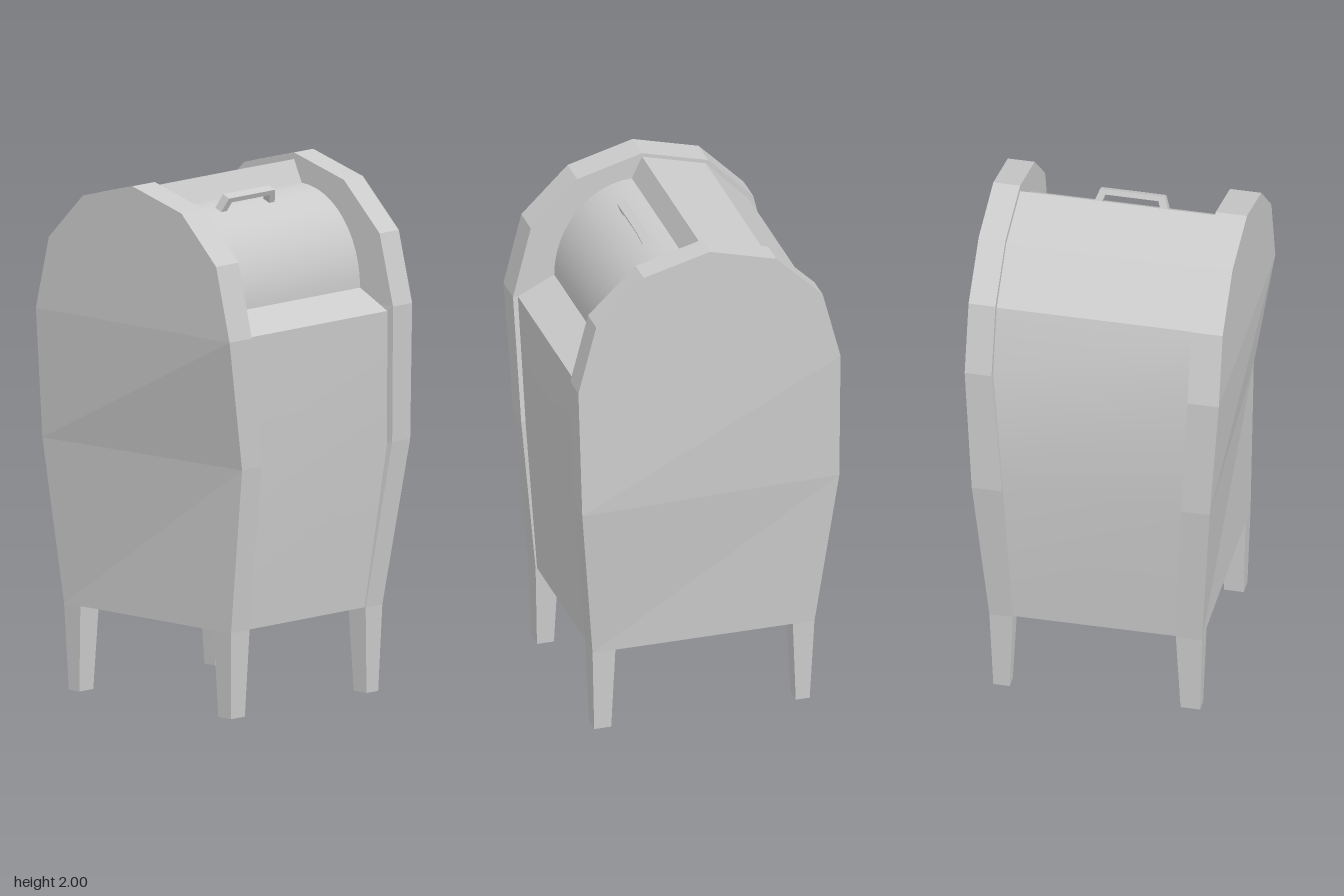
import * as THREE from 'three';
import { toCreasedNormals } from 'three/addons/utils/BufferGeometryUtils.js';

const flat = new THREE.MeshStandardMaterial({ color: 0xcccccc, flatShading: true });
const smooth = new THREE.MeshStandardMaterial({ color: 0xcccccc });

function part(name, geometry, material = flat) {
  const mesh = new THREE.Mesh(geometry, material);
  mesh.name = name;
  return mesh;
}

// Joins four-cornered rings, listed from top to bottom, and closes the lowest one.
// Each ring runs front-right-back-left, counter-clockwise seen from above.
function loft(rings) {
  const pos = [];
  const tri = (...corners) => corners.forEach((c) => pos.push(...c));
  for (let r = 0; r < rings.length - 1; r++) {
    const up = rings[r], low = rings[r + 1];
    for (let i = 0; i < 4; i++) {
      const j = (i + 1) % 4;
      tri(low[i], low[j], up[j]);
      tri(low[i], up[j], up[i]);
    }
  }
  const [a, b, c, d] = rings[rings.length - 1];
  tri(a, d, c);
  tri(a, c, b);
  const g = new THREE.BufferGeometry();
  g.setAttribute('position', new THREE.Float32BufferAttribute(pos, 3));
  g.computeVertexNormals();
  return g;
}

// Row: y, zBack, zFront, then x as smaller/larger at the back and at the front
const ring = ([y, zb, zf, b0, b1, f0, f1]) =>
  [[f0, y, zf], [f1, y, zf], [b1, y, zb], [b0, y, zb]];

// Half-width of the body at a height, kept inside the side panels
function bodyX(y, right) {
  const rows = right
    ? [[0.33, 0.36], [0.96, 0.42], [1.46, 0.43]]
    : [[0.33, -0.36], [0.96, -0.375], [1.46, -0.43]];
  for (let i = 0; i < 2; i++) {
    const [y0, x0] = rows[i], [y1, x1] = rows[i + 1];
    if (y <= y1) return THREE.MathUtils.mapLinear(y, y0, y1, x0, x1);
  }
  return rows[2][1];
}

// Extrudes a z-y outline across the width, between the side panels
function acrossBody(points) {
  const shape = new THREE.Shape(points.map(([z, y]) => new THREE.Vector2(-z, y)));
  const g = new THREE.ExtrudeGeometry(shape, { depth: 1, bevelEnabled: false });
  g.rotateY(Math.PI / 2);
  const p = g.attributes.position;
  for (let i = 0; i < p.count; i++) p.setX(i, bodyX(p.getY(i), p.getX(i) > 0.5));
  return toCreasedNormals(g, 0.3);
}

export function createModel() {
  const model = new THREE.Group();
  model.name = 'mailbox';

  // Side panels, bowed and slightly uneven
  const rightPanel = [
    [1.99, 0, 0, -0.49, -0.37, -0.49, -0.37],
    [1.92, -0.26, 0.255, -0.49, -0.37, -0.49, -0.37],
    [1.74, -0.437, 0.437, -0.49, -0.37, -0.49, -0.37],
    [1.46, -0.505, 0.507, -0.49, -0.37, -0.49, -0.37],
    [0.96, -0.505, 0.495, -0.455, -0.345, -0.41, -0.305],
    [0.33, -0.435, 0.437, -0.41, -0.31, -0.41, -0.31],
  ];
  const leftPanel = [
    [2, 0, 0, 0.38, 0.483, 0.38, 0.483],
    [1.93, -0.26, 0.26, 0.38, 0.483, 0.38, 0.483],
    [1.75, -0.443, 0.447, 0.38, 0.483, 0.38, 0.483],
    [1.48, -0.513, 0.517, 0.38, 0.483, 0.38, 0.483],
    [0.96, -0.517, 0.503, 0.34, 0.455, 0.39, 0.487],
    [0.33, -0.435, 0.437, 0.315, 0.405, 0.315, 0.405],
  ];
  model.add(part('rightSidePanel', loft(rightPanel.map(ring))));
  model.add(part('leftSidePanel', loft(leftPanel.map(ring))));

  // Tapered legs under the four corners
  for (const [side, top, foot] of [
    ['right', [-0.41, -0.31], [-0.4, -0.325]],
    ['left', [0.315, 0.405], [0.33, 0.393]],
  ]) {
    model.add(part(side + 'FrontLeg', loft([
      ring([0.33, 0.347, 0.437, ...top, ...top]),
      ring([0, 0.36, 0.427, ...foot, ...foot]),
    ])));
    model.add(part(side + 'BackLeg', loft([
      ring([0.33, -0.435, -0.35, ...top, ...top]),
      ring([0, -0.42, -0.365, ...foot, ...foot]),
    ])));
  }

  // Body with a recess for the door and a sloping ledge below it
  model.add(part('body', acrossBody([
    [0, 1.975], [0.04, 1.89], [0.04, 1.53], [0.345, 1.53], [0.488, 1.46], [0.478, 0.96], [0.431, 0.33],
    [-0.429, 0.33], [-0.49, 0.96], [-0.488, 1.46], [-0.42, 1.73], [-0.25, 1.908],
  ]), smooth));

  // Rounded door: a quarter ellipse
  const door = [[0.03, 1.52], [0.03, 1.89]];
  for (let i = 0; i <= 12; i++) {
    const a = (i / 12) * Math.PI / 2;
    door.push([0.04 + 0.305 * Math.sin(a), 1.53 + 0.36 * Math.cos(a)]);
  }
  door.push([0.345, 1.52]);
  model.add(part('door', acrossBody(door), smooth));

  // Door handle: a bent bar standing on the door
  const bar = new THREE.Shape([
    [-0.17, -0.015], [-0.14, -0.015], [-0.122, 0.04], [0.082, 0.04],
    [0.1, -0.015], [0.13, -0.015], [0.103, 0.06], [-0.145, 0.06],
  ].map(([x, y]) => new THREE.Vector2(x, y)));
  const handle = part('handle', new THREE.ExtrudeGeometry(bar, { depth: 0.034, bevelEnabled: false }));
  handle.rotation.x = 0.4;
  handle.position.set(0, 1.876, 0.115);
  model.add(handle);

  return model;
}
